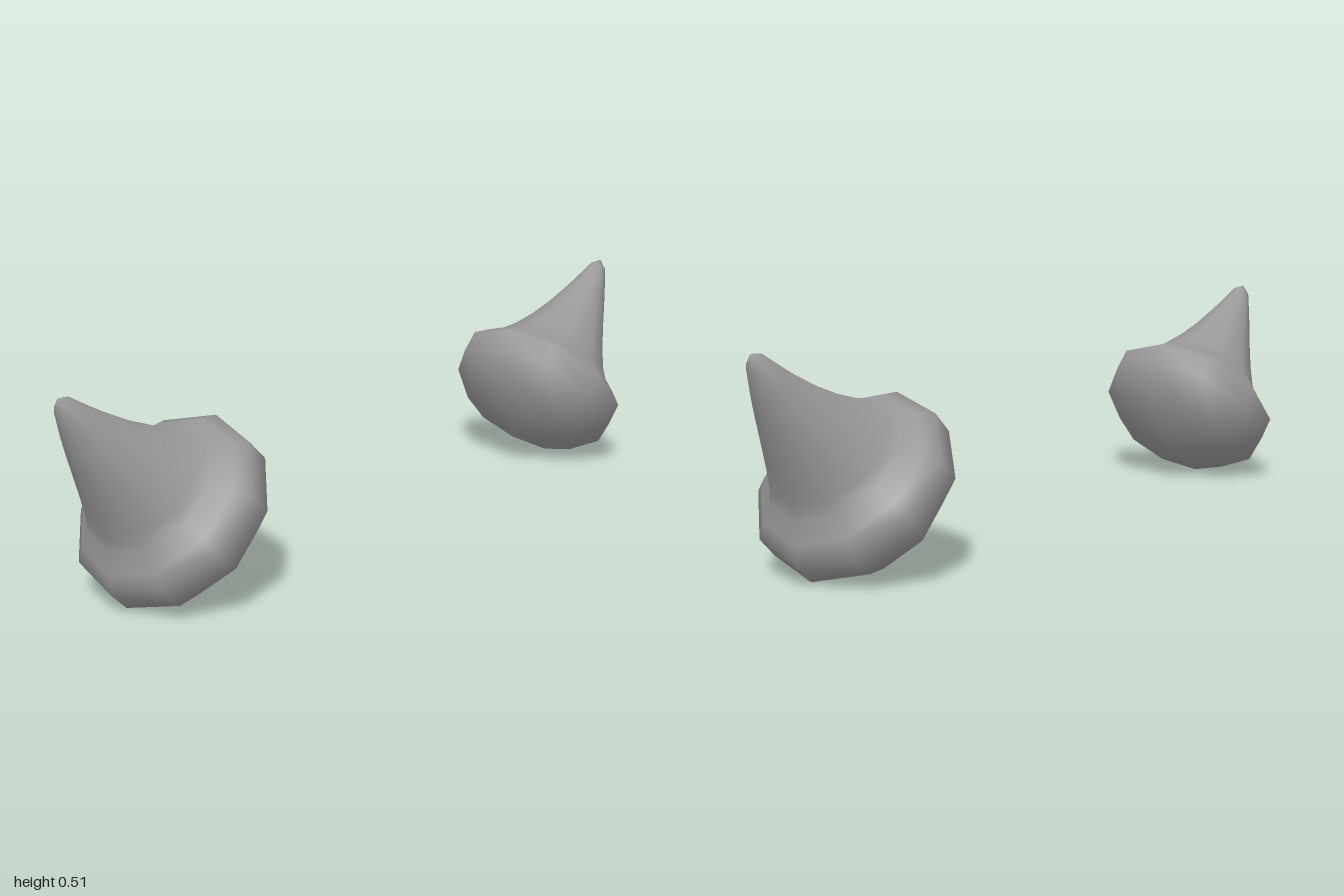
import * as THREE from 'three';
import { mergeVertices } from 'three/addons/utils/BufferGeometryUtils.js';

// Ten-sided turned profile: [radius, height along the axis]
const PROFILE = [
  [0, -0.163], [0.168, -0.105], [0.234, -0.034], [0.234, 0.03],
  [0.204, 0.06], [0.167, 0.092], [0.145, 0.123], [0.116, 0.18],
  [0.09, 0.24], [0.061, 0.315], [0.044, 0.36], [0.023, 0.414], [0, 0.436],
];

function hornGeometry() {
  const points = PROFILE.map(([r, h]) => new THREE.Vector2(r, h));
  const lathe = new THREE.LatheGeometry(points, 10, Math.PI / 2);
  // Weld seam and poles so the shading stays smooth all over
  lathe.deleteAttribute('uv');
  lathe.deleteAttribute('normal');
  const geo = mergeVertices(lathe);
  // Bow the spike gently, with its tip curling upwards
  const pos = geo.attributes.position;
  for (let i = 0; i < pos.count; i++) {
    const s = Math.max(0, pos.getY(i) - 0.1);
    pos.setX(i, pos.getX(i) + 0.1 * s - 0.4 * s * s);
  }
  geo.computeVertexNormals();
  return geo;
}

export function createModel() {
  const model = new THREE.Group();
  model.name = 'hornPair';
  const geo = hornGeometry();
  const material = new THREE.MeshStandardMaterial({ color: 0x999999 });

  // One horn per side, leaning outwards at 45 degrees
  for (const [name, turn] of [['leftHorn', 0], ['rightHorn', Math.PI]]) {
    const side = new THREE.Group();
    side.name = name;
    const horn = new THREE.Mesh(geo, material);
    horn.name = name + 'Body';
    horn.position.set(0.697, 0.191, 0);
    horn.rotation.z = -Math.PI / 4;
    side.add(horn);
    side.rotation.y = turn;
    model.add(side);
  }
  return model;
}
